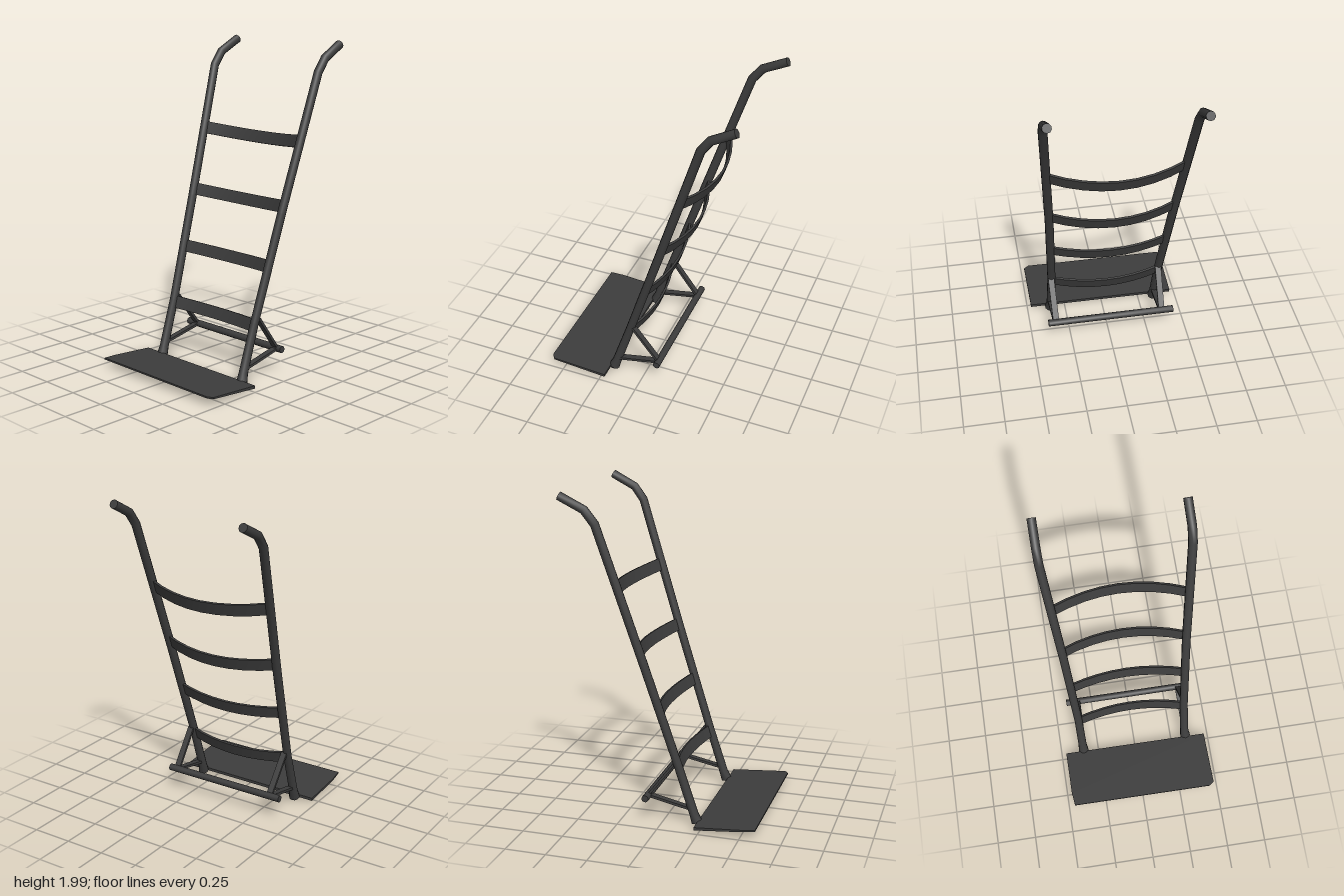
import * as THREE from 'three';
import { toCreasedNormals } from 'three/addons/utils/BufferGeometryUtils.js';

const V = (x, y, z) => new THREE.Vector3(x, y, z);
const material = new THREE.MeshStandardMaterial({ color: 0x3c3c3c });

// Cross-section outlines, as [u, v] pairs
const round = (r, sides) => Array.from({ length: sides }, (_, i) => {
  const a = ((i + 0.5) / sides) * Math.PI * 2;
  return [r * Math.cos(a), r * Math.sin(a)];
});
const flat = (w, t) => [[w / 2, t / 2], [-w / 2, t / 2], [-w / 2, -t / 2], [w / 2, -t / 2]];

// Sweep a closed outline along a polyline; u follows ref, scales sizes each ring
function sweep(path, outline, ref, scales = []) {
  const n = outline.length, pos = [], index = [];
  path.forEach((p, k) => {
    const T = V(0, 0, 0);
    if (k > 0) T.add(p.clone().sub(path[k - 1]).normalize());
    if (k < path.length - 1) T.add(path[k + 1].clone().sub(p).normalize());
    T.normalize();
    const U = ref.clone().addScaledVector(T, -ref.dot(T)).normalize();
    const W = T.clone().cross(U), s = scales[k] ?? 1;
    for (const [u, v] of outline) {
      const q = p.clone().addScaledVector(U, u * s).addScaledVector(W, v * s);
      pos.push(q.x, q.y, q.z);
    }
  });
  const last = (path.length - 1) * n;
  for (let k = 0; k < last; k += n) {
    for (let i = 0; i < n; i++) {
      const j = (i + 1) % n;
      index.push(k + i, k + j, k + n + i, k + j, k + n + j, k + n + i);
    }
  }
  for (let i = 1; i < n - 1; i++) index.push(0, i + 1, i, last, last + i, last + i + 1);
  const g = new THREE.BufferGeometry();
  g.setAttribute('position', new THREE.Float32BufferAttribute(pos, 3));
  g.setIndex(index);
  return toCreasedNormals(g, 0.85);
}

// Rail centre lines, foot to grip; the two differ slightly
const rails = {
  left: [V(0.35, 0.02, 0.205), V(0.345, 0.07, 0.187), V(0.345, 0.36, 0.093), V(0.368, 1.0, -0.112),
    V(0.413, 1.82, -0.372), V(0.415, 1.9, -0.43), V(0.411, 1.975, -0.57)],
  right: [V(-0.35, 0.02, 0.205), V(-0.352, 0.07, 0.187), V(-0.357, 0.36, 0.093), V(-0.395, 1.0, -0.112),
    V(-0.453, 1.81, -0.372), V(-0.455, 1.89, -0.435), V(-0.456, 1.963, -0.583)],
};
const railAt = (side, y) => {
  const r = rails[side], k = r.findIndex((p) => p.y > y);
  return r[k - 1].clone().lerp(r[k], (y - r[k - 1].y) / (r[k].y - r[k - 1].y));
};

export function createModel() {
  const group = new THREE.Group();
  const add = (name, geometry) => {
    const mesh = new THREE.Mesh(geometry, material);
    mesh.name = name;
    group.add(mesh);
    return mesh;
  };
  const X = V(1, 0, 0), along = V(0, 0.953, -0.303), back = V(0, -0.303, -0.953);

  for (const side of ['left', 'right']) {
    const s = side === 'left' ? 1 : -1;
    // Bent rail with a flared foot
    add(side + 'Rail', sweep(rails[side], round(0.027, 10), X, [1.25, 1.05, 0.98]));
    // Flat struts holding the axle
    const axle = V(s * 0.345, 0.157, -0.1);
    add(side + 'UpperStrut', sweep([V(s * 0.35, 0.385, 0.07), axle], flat(0.038, 0.016), X));
    add(side + 'LowerStrut', sweep([V(s * 0.348, 0.102, 0.165), axle], flat(0.038, 0.016), X));
    // Tapering support under the plate
    add(side + 'PlateSupport', sweep([V(s * 0.35, 0.018, 0.2), V(s * 0.35, 0.041, 0.42)],
      flat(0.05, 0.016), X, [1, 0.7]));
  }

  // Curved slats between the rails, bowed towards the back
  [[1.42, 0.105], [1.04, 0.09], [0.69, 0.065], [0.345, 0.06]].forEach(([y, depth], i) => {
    const a = railAt('right', y), b = railAt('left', y), path = [];
    for (let k = 0; k <= 8; k++) {
      const t = k / 8;
      path.push(a.clone().lerp(b, t).addScaledVector(back, depth * (1 - (2 * t - 1) ** 2)));
    }
    add('slat' + (i + 1), sweep(path, flat(0.076, 0.014), along));
  });

  // Axle bar
  add('axleBar', sweep([V(-0.42, 0.157, -0.1), V(0.395, 0.157, -0.1)], round(0.022, 10), V(0, 1, 0)));

  // Toe plate, rising and thinning to the front, with slightly worn corners
  const outline = [[-0.47, 0.218], [0.475, 0.222], [0.48, 0.57], [0.45, 0.592], [-0.46, 0.588], [-0.47, 0.5]];
  const shape = new THREE.Shape(outline.map(([x, z]) => new THREE.Vector2(x, -z)));
  const plate = new THREE.ExtrudeGeometry(shape, { depth: 1, bevelEnabled: false });
  plate.rotateX(-Math.PI / 2);
  const p = plate.attributes.position;
  for (let i = 0; i < p.count; i++) {
    const t = (p.getZ(i) - 0.22) / 0.37;
    const thickness = 0.018 - 0.008 * t;
    p.setY(i, 0.018 + 0.036 * t + p.getY(i) * thickness);
  }
  plate.computeVertexNormals();
  add('toePlate', plate);

  return group;
}
